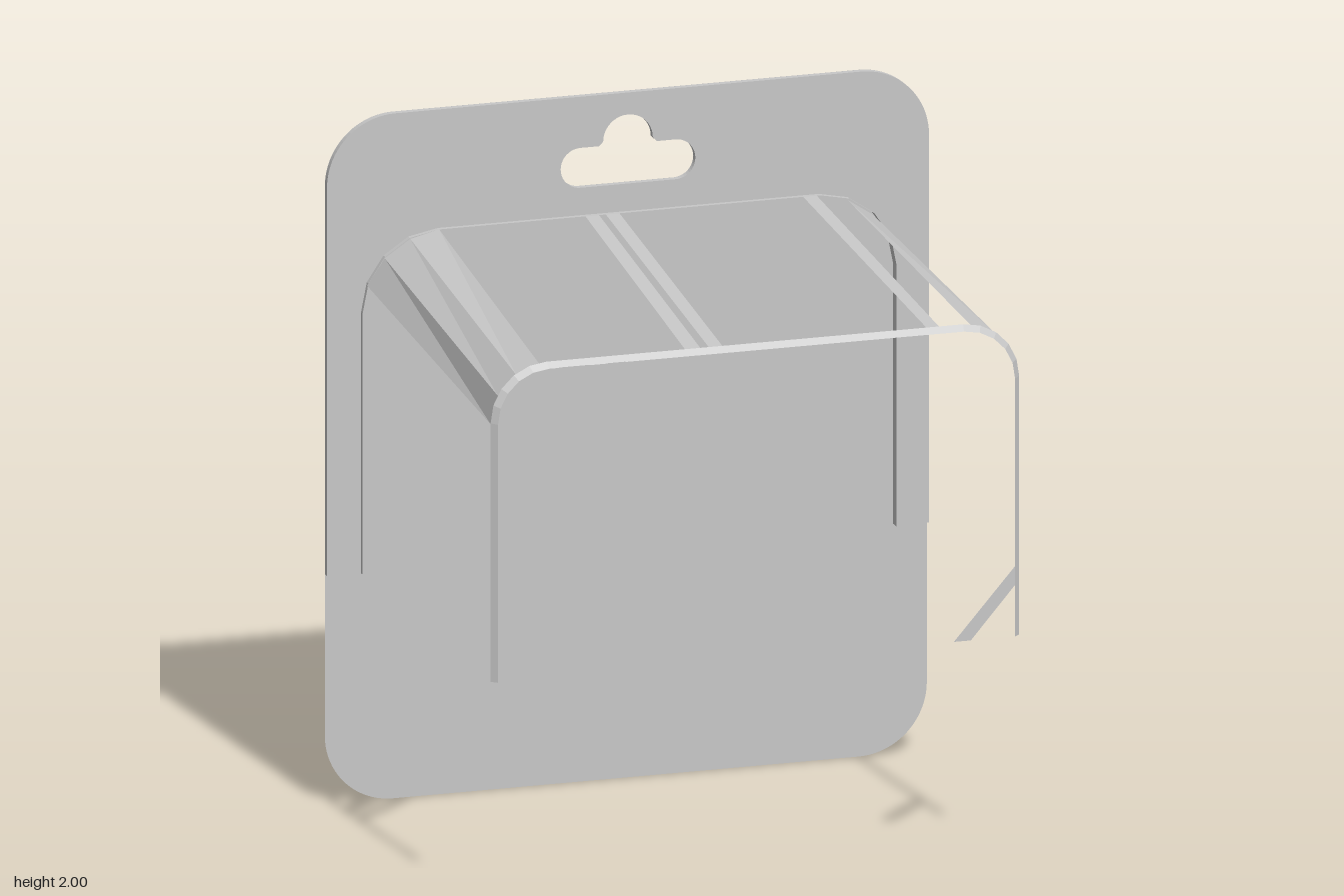
import * as THREE from 'three';

const BACK = -0.595, LIP = -0.575, COLLAR = -0.56, RIM = 0.58, FRONT = 0.595;
const SPLIT = 0.67; // height where the raised flange ends

// Rounded rectangle; a zero radius gives a square corner (order: bl, br, tr, tl)
function roundRect(x0, y0, x1, y1, [bl, br, tr, tl]) {
  const s = new THREE.Shape();
  const corner = (cx, cy, r, a) => r
    ? s.absarc(cx, cy, r, a, a + Math.PI / 2, false)
    : s.lineTo(cx, cy);
  s.moveTo(x0, y0 + bl);
  corner(x0 + bl, y0 + bl, bl, Math.PI);
  corner(x1 - br, y0 + br, br, Math.PI * 1.5);
  corner(x1 - tr, y1 - tr, tr, 0);
  corner(x0 + tl, y1 - tl, tl, Math.PI / 2);
  s.closePath();
  return s;
}

// Hanging hole: a slot with a round bump on top
function hangHole() {
  const p = new THREE.Path();
  p.moveTo(-0.14, 1.735);
  p.lineTo(0.14, 1.735);
  p.absarc(0.14, 1.793, 0.058, -Math.PI / 2, Math.PI / 2, false);
  p.lineTo(0.085, 1.851);
  p.lineTo(0.073, 1.863);
  p.absarc(0, 1.863, 0.073, 0, Math.PI, false);
  p.lineTo(-0.085, 1.851);
  p.lineTo(-0.14, 1.851);
  p.absarc(-0.14, 1.793, 0.058, Math.PI / 2, Math.PI * 1.5, false);
  return p;
}

// Faceted surface between two matching point rows
function loft(a, b) {
  const pos = [];
  for (let i = 0; i < a.length - 1; i++) {
    pos.push(...a[i], ...b[i], ...b[i + 1], ...a[i], ...b[i + 1], ...a[i + 1]);
  }
  const g = new THREE.BufferGeometry();
  g.setAttribute('position', new THREE.Float32BufferAttribute(pos, 3));
  g.computeVertexNormals();
  return g;
}

const atZ = (pts, z) => pts.map(([x, y]) => [x, y, z]);

// Upside-down U: up the right side, over the top, down the left side
function arch(w, top, r, n) {
  const half = [[w, SPLIT]];
  for (let i = 0; i <= n; i++) {
    const a = (i / n) * Math.PI / 2;
    half.push([w - r + r * Math.cos(a), top - r + r * Math.sin(a)]);
  }
  return [...half, ...half.slice().reverse().map(([x, y]) => [-x, y])];
}

export function createModel() {
  const group = new THREE.Group();
  const grey = new THREE.MeshStandardMaterial({ color: 0xc8c8c8, side: THREE.DoubleSide });
  grey.name = 'grey';
  const add = (name, geometry, z = 0) => {
    const m = new THREE.Mesh(geometry, grey);
    m.name = name;
    m.position.z = z;
    group.add(m);
  };

  // Backing card
  const card = roundRect(-0.885, 0, 0.885, 2, [0.2, 0.2, 0.2, 0.2]);
  card.holes.push(hangHole());
  add('backingCard', new THREE.ShapeGeometry(card, 10), BACK);

  // Panel inside the opening and label on the back
  add('innerPanel', new THREE.ShapeGeometry(
    roundRect(-0.785, 0.09, 0.785, 1.655, [0.225, 0.225, 0.225, 0.225]), 4), BACK + 0.001);
  add('backLabel', new THREE.ShapeGeometry(
    roundRect(-0.755, 0.92, 0.75, 1.51 + 0.04, [0, 0, 0, 0.11]), 6), BACK - 0.001);

  // Raised flange around the upper opening
  const opening = arch(0.785, 1.655, 0.225, 4);
  const flange = new THREE.Shape();
  flange.moveTo(0.785, SPLIT);
  flange.lineTo(0.885, SPLIT);
  flange.absarc(0.685, 1.8, 0.2, 0, Math.PI / 2, false);
  flange.absarc(-0.685, 1.8, 0.2, Math.PI / 2, Math.PI, false);
  flange.lineTo(-0.885, SPLIT);
  opening.slice().reverse().forEach(([x, y]) => flange.lineTo(x, y));
  flange.holes.push(hangHole());
  add('flange', new THREE.ExtrudeGeometry(flange,
    { depth: LIP - BACK - 0.001, bevelEnabled: false, curveSegments: 10 }), BACK + 0.001);

  // Low collar where the cover leaves the flange
  add('collar', loft(atZ(opening, LIP), atZ(opening, COLLAR)));

  // Chamfered rim of the cover's front face
  add('frontRim', loft(
    atZ(arch(0.777, 1.588, 0.165, 5), RIM),
    atZ(arch(0.76, 1.571, 0.15, 5), FRONT)));

  // Curved corner strips running from front to back
  add('rightCornerStrip', loft(
    atZ([[0.64, 1.635], [0.715, 1.585], [0.768, 1.512]], COLLAR),
    atZ([[0.635, 1.583], [0.71, 1.55], [0.768, 1.475]], RIM)));
  add('leftCornerStrip', loft(
    atZ([[-0.56, 1.655], [-0.645, 1.635], [-0.72, 1.585], [-0.772, 1.51]], COLLAR),
    atZ([[-0.635, 1.585], [-0.7, 1.555], [-0.755, 1.5], [-0.777, 1.42]], RIM)));

  // Narrow strips on the sloping top: back x pair, front x pair
  for (const [b0, b1, f0, f1] of [
    [-0.13, -0.09, -0.205, -0.16],
    [-0.07, -0.03, -0.135, -0.095],
    [0.51, 0.55, 0.505, 0.542],
  ]) {
    add('topStrip', loft(
      [[b0, 1.655, COLLAR], [b1, 1.655, COLLAR]],
      [[f0, 1.587, RIM], [f1, 1.587, RIM]]));
  }

  // Diagonal strips on the front face
  for (const [a, b] of [
    [[[-0.76, 1.2], [-0.385, 1.572]], [[-0.76, 1.253], [-0.437, 1.572]]],
    [[[-0.76, 1.3], [-0.49, 1.572]], [[-0.76, 1.375], [-0.58, 1.572]]],
    [[[0.58, SPLIT], [0.76, 0.875]], [[0.63, SPLIT], [0.76, 0.82]]],
  ]) {
    add('frontStrip', loft(atZ(b, FRONT), atZ(a, FRONT)));
  }
  return group;
}
